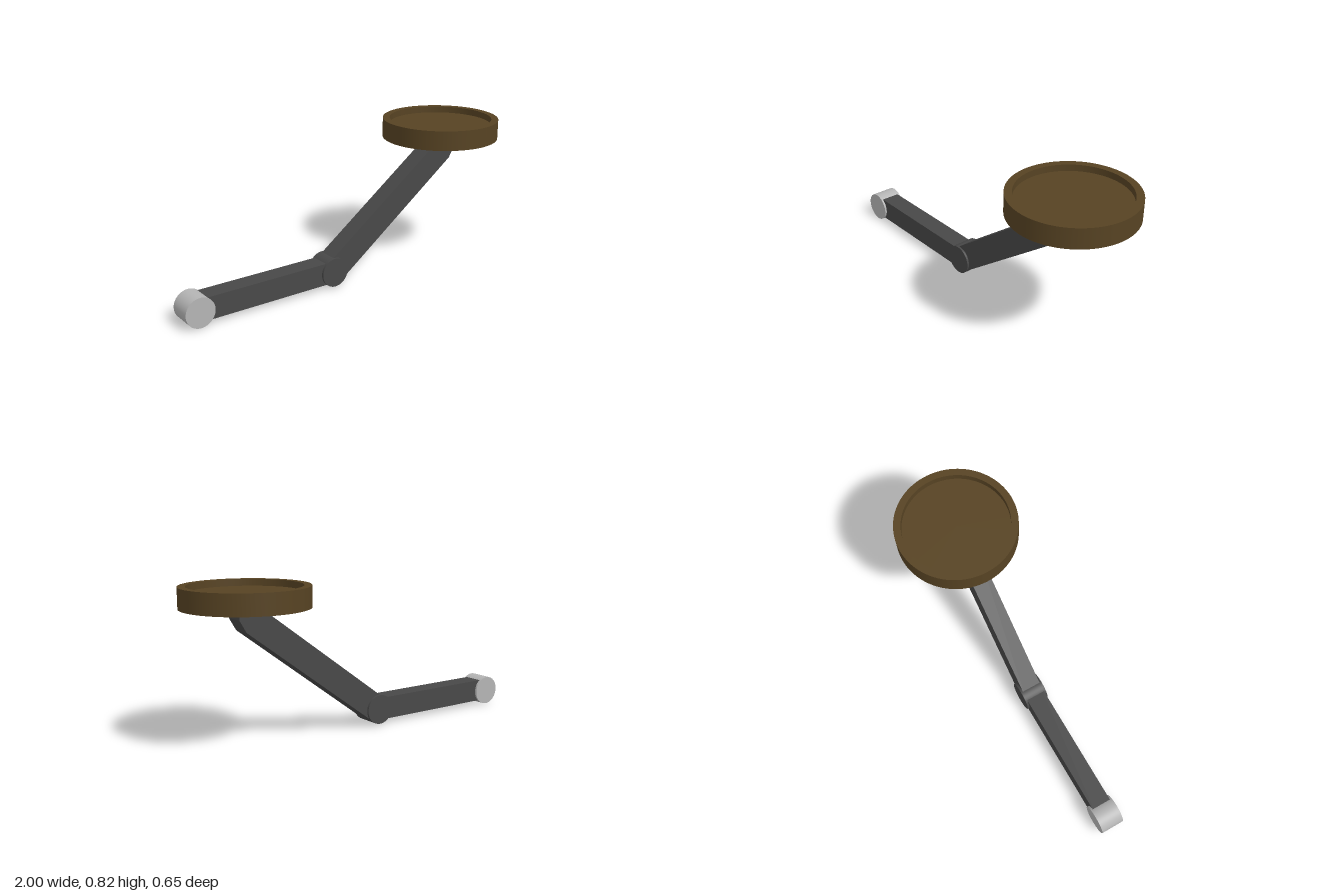
import * as THREE from 'three';

const material = (name, color) => {
  const m = new THREE.MeshStandardMaterial({ color });
  m.name = name;
  return m;
};

export function createModel() {
  const group = new THREE.Group();
  const darkGrey = material('dark grey', 0x484848);
  const lightGrey = material('light grey', 0xb4b4b4);
  const brown = material('brown', 0x574323);
  const zMid = 0.004;

  const add = (name, geometry, mat) => {
    const mesh = new THREE.Mesh(geometry, mat);
    mesh.name = name;
    group.add(mesh);
    return mesh;
  };

  // Round joint with its axis along z
  const joint = (name, x, y, r, mat) => {
    const g = new THREE.CylinderGeometry(r, r, 0.131, 64);
    g.rotateX(Math.PI / 2);
    add(name, g, mat).position.set(x, y, zMid);
  };

  // Flat-sided arm from a side profile
  const arm = (name, points) => {
    const shape = new THREE.Shape(points.map(([x, y]) => new THREE.Vector2(x, y)));
    const g = new THREE.ExtrudeGeometry(shape, { depth: 0.108, bevelEnabled: false });
    g.translate(0, 0, zMid - 0.054);
    add(name, g, darkGrey);
  };

  joint('endJoint', -0.92, 0.081, 0.081, lightGrey);
  joint('elbowJoint', -0.113, 0.087, 0.081, darkGrey);

  arm('lowerArm', [[-0.92, 0.024], [-0.113, 0.024], [-0.113, 0.147], [-0.92, 0.147]]);
  // The upper arm bends upright where it meets the mount
  arm('upperArm', [
    [-0.07, 0.024], [0.697, 0.593], [0.735, 0.657], [0.735, 0.69], [0.59, 0.69], [-0.148, 0.145],
  ]);

  // Mounting disc below the tray
  add('mountDisc', new THREE.CylinderGeometry(0.16, 0.16, 0.027, 64), brown)
    .position.set(0.672, 0.7005, 0);

  // Tray: each pair of points is its own lathe so the edges stay sharp
  const profile = [[0, 0.711], [0.326, 0.711], [0.326, 0.819], [0.287, 0.819], [0.287, 0.784], [0, 0.784]];
  const names = ['trayUnderside', 'trayWall', 'trayRim', 'trayInnerWall', 'trayFloor'];
  names.forEach((name, i) => {
    const points = [profile[i], profile[i + 1]].map(([r, y]) => new THREE.Vector2(r, y));
    add(name, new THREE.LatheGeometry(points, 96), brown).position.x = 0.672;
  });

  return group;
}
